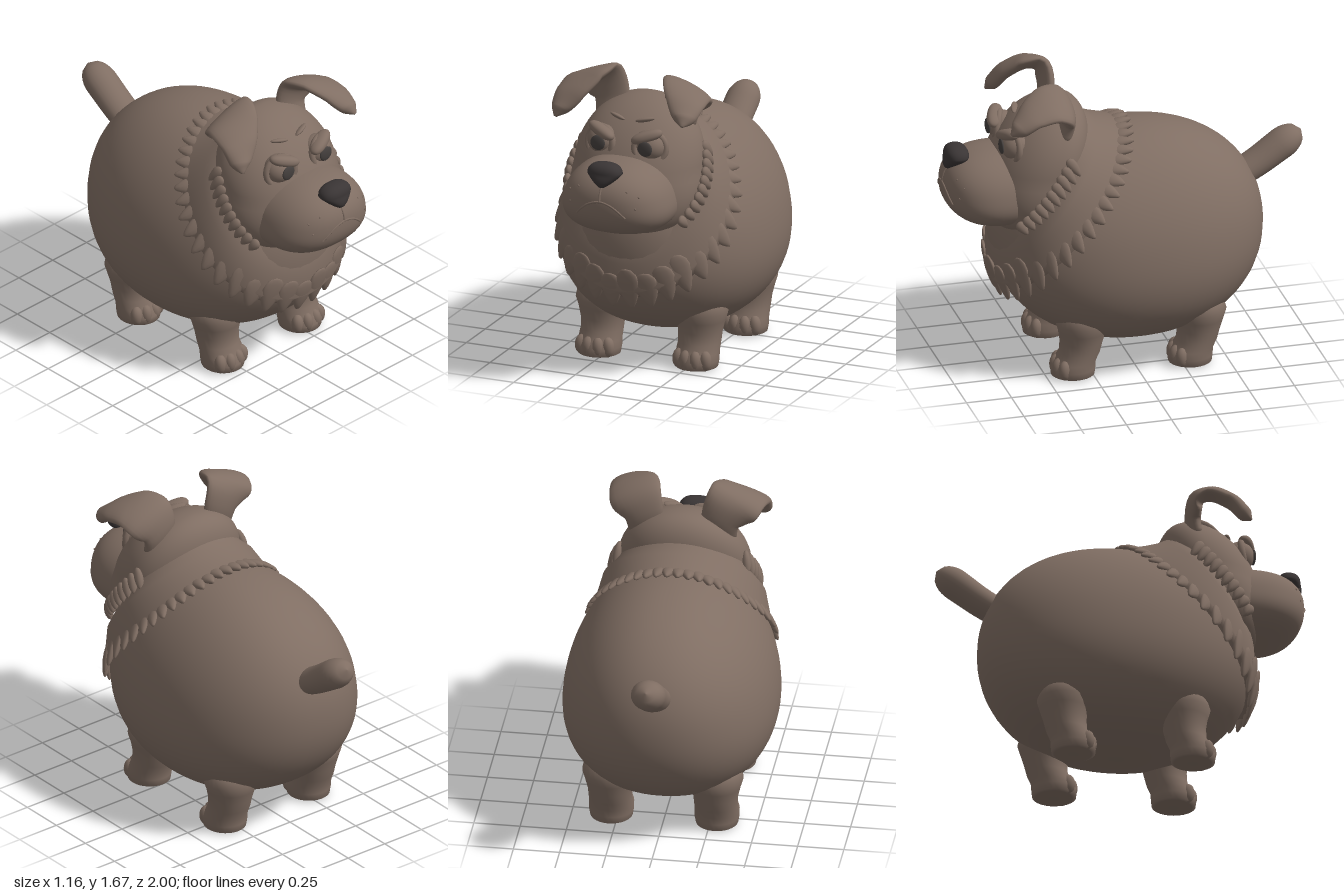
import * as THREE from 'three';
import { mergeVertices } from 'three/addons/utils/BufferGeometryUtils.js';

const V = (x, y, z) => new THREE.Vector3(x, y, z);
const fur = new THREE.MeshStandardMaterial({ color: 0x806e63 });
fur.name = 'brown fur';
const dark = new THREE.MeshStandardMaterial({ color: 0x3a3535 });
dark.name = 'dark nose';
const irisMat = new THREE.MeshStandardMaterial({ color: 0x45403e });
irisMat.name = 'iris grey';

export function createModel() {
  const root = new THREE.Group();
  root.name = 'dog';

  const add = (name, geo, mat = fur, pos, rot) => {
    const m = new THREE.Mesh(geo, mat);
    m.name = name;
    if (pos) m.position.set(...pos);
    if (rot) m.rotation.set(...rot);
    root.add(m);
  };

  // Rounded ellipsoid of squareness p, optionally bent by a vertex rule
  const blob = (rx, ry, rz, p = 2, rule, seg = 32) => {
    let g = new THREE.SphereGeometry(1, seg, Math.round(seg * 0.7));
    g.deleteAttribute('uv');
    g.deleteAttribute('normal');
    g = mergeVertices(g, 1e-4);
    const a = g.attributes.position, v = V(0, 0, 0);
    for (let i = 0; i < a.count; i++) {
      v.fromBufferAttribute(a, i);
      const k = (Math.abs(v.x) ** p + Math.abs(v.y) ** p + Math.abs(v.z) ** p) ** (-1 / p);
      v.multiplyScalar(k).multiply(V(rx, ry, rz));
      if (rule) rule(v);
      a.setXYZ(i, v.x, v.y, v.z);
    }
    g.computeVertexNormals();
    return g;
  };

  // Closed skin over a list of rings, turned outward by its signed volume
  const loft = (rings) => {
    const n = rings[0].length, pts = rings.flat(), idx = [];
    for (let r = 0; r < rings.length - 1; r++) {
      for (let i = 0; i < n; i++) {
        const a = r * n + i, b = r * n + (i + 1) % n;
        idx.push(a, b, b + n, a, b + n, a + n);
      }
    }
    [0, rings.length - 1].forEach((r, end) => {
      const c = pts.length;
      pts.push(rings[r].reduce((s, q) => s.add(q), V(0, 0, 0)).divideScalar(n));
      for (let i = 0; i < n; i++) {
        const a = r * n + i, b = r * n + (i + 1) % n;
        idx.push(...(end ? [a, b, c] : [b, a, c]));
      }
    });
    let vol = 0;
    for (let i = 0; i < idx.length; i += 3) {
      vol += pts[idx[i]].dot(pts[idx[i + 1]].clone().cross(pts[idx[i + 2]]));
    }
    if (vol < 0) idx.reverse();
    const g = new THREE.BufferGeometry().setFromPoints(pts);
    g.setIndex(idx);
    g.computeVertexNormals();
    return g;
  };
  const circle = (n, f) => Array.from({ length: n }, (_, i) => f(i / n * Math.PI * 2));

  // Body, wider toward the belly
  const bodyC = V(0, 0.725, -0.015);
  const girth = (y) => 1 - 0.25 * (y - 0.66);
  add('body', blob(0.58, 0.595, 0.745, 2.15, (v) => { v.x *= girth(v.y + bodyC.y); }, 56), fur, bodyC.toArray());
  const onBody = (p, k) => {
    const d = p.clone().sub(bodyC);
    const f = Math.hypot(d.x / (0.58 * girth(p.y)), d.y / 0.595, d.z / 0.745);
    return bodyC.clone().addScaledVector(d, k / f);
  };

  // Neck ruff: tilted rings (t = 0 at the nape) from collar hem up into the head
  const ringPt = (zb, yb, zf, yf, x, t) => V(x * Math.sin(t),
    (yb + yf) / 2 + (yb - yf) / 2 * Math.cos(t), (zb + zf) / 2 + (zb - zf) / 2 * Math.cos(t));
  const frontness = (t) => (1 - Math.cos(t)) / 2;
  const edge = (t) => ringPt(-0.04, 1.34, 0.69, 0.4, 0.54, t);
  const throat = (t) => ringPt(0.16, 1.37, 0.735, 0.66, 0.44, t);
  const hem = (t, k, s) => onBody(edge(t).lerp(throat(t), s), k + 0.03 * frontness(t));
  add('neck', loft([
    circle(64, (t) => hem(t, 0.93, 0.22)),
    circle(64, (t) => hem(t, 1.03, 0.27)),
    circle(64, (t) => hem(t, 1.05, 0.45)),
    circle(64, throat),
    circle(64, (t) => ringPt(0.21, 1.4, 0.72, 0.73, 0.385, t)),
    circle(64, (t) => ringPt(0.26, 1.43, 0.69, 0.8, 0.355, t)),
    circle(64, (t) => ringPt(0.32, 1.44, 0.63, 0.88, 0.32, t)),
    circle(64, (t) => ringPt(0.38, 1.42, 0.6, 0.98, 0.25, t)),
  ]));

  // Pointed fur tuft lying on a surface with the given outward direction
  const tuft = (name, pos, dir, out, w, len, thick) => {
    const d = dir.clone().normalize();
    const t = d.clone().cross(out).normalize();
    const g = blob(w, len, thick, 2, (v) => { v.x *= 1 - 0.45 * v.y / len; }, 12);
    g.applyMatrix4(new THREE.Matrix4().makeBasis(t, d, t.clone().cross(d)).setPosition(pos));
    add(name, g);
  };
  const count = 40;
  for (let i = 0; i < count; i++) {
    const a = (i + 0.5) / count * Math.PI * 2;
    const t = a - 0.3 * Math.sin(a);
    const front = frontness(t);
    const tip = onBody(edge(t), 1.04 + 0.05 * front), base = hem(t, 1.02, 0.5);
    const len = (0.06 + 0.055 * front) * (1 + 0.1 * Math.sin(i * 2.4));
    const dir = tip.clone().sub(base).normalize();
    tuft('collarTuft', tip.clone().addScaledVector(dir, -len), dir, tip.clone().sub(bodyC),
      0.033 + 0.027 * front, len, 0.02);
  }

  // Head, leaning forward at the jaw
  add('head', blob(0.36, 0.37, 0.3, 2.1, (v) => {
    if (v.z < 0) v.z *= 0.75;
    v.z -= 0.3 * v.y;
    if (v.y < 0) v.x *= 1 - 0.6 * v.y;
  }, 48), fur, [0, 1.15, 0.46]);

  // Muzzle and its surface depth for the mouth details
  const mw = (y) => 0.3 * (1 - 0.8 * y);
  add('muzzle', blob(0.3, 0.205, 0.3, 2.4, (v) => { v.x *= 1 - 0.8 * v.y; }, 48), fur, [0, 1.06, 0.7]);
  const onMuzzle = (x, y) => {
    const r = 1 - (Math.abs(x) / mw(y - 1.06)) ** 2.4 - (Math.abs(y - 1.06) / 0.205) ** 2.4;
    return V(x, y, 0.7 + 0.3 * Math.max(r, 0) ** (1 / 2.4));
  };
  const line = (name, pts) => add(name,
    new THREE.TubeGeometry(new THREE.CatmullRomCurve3(pts), 24, 0.006, 6));
  line('mouth', [-0.14, -0.11, -0.06, 0, 0.06, 0.11, 0.14].map((x) => onMuzzle(x, 1.09 - 4.2 * x * x)));
  line('lipCleft', [1.18, 1.13, 1.09].map((y) => onMuzzle(0, y)));

  // Nose: broad above, pointed below
  add('nose', blob(0.097, 0.06, 0.065, 2.4, (v) => {
    if (v.y < 0) { v.x *= 1 + 11 * v.y; v.y *= 1.25; v.z -= v.y * 0.35; }
  }), dark, [0, 1.232, 0.92]);

  // Features repeated on both sides
  for (const s of [1, -1]) {
    add('eyeball', blob(0.085, 0.08, 0.08), fur, [s * 0.14, 1.315, 0.63]);
    add('iris', blob(0.042, 0.042, 0.012), irisMat, [s * 0.138, 1.318, 0.708]);
    add('eyelid', new THREE.TorusGeometry(0.084, 0.019, 10, 32), fur, [s * 0.145, 1.308, 0.655], [-0.15, s * 0.3, 0]);
    add('brow', blob(0.088, 0.032, 0.042, 2.3), fur, [s * 0.132, 1.376, 0.67], [-0.2, s * 0.3, s * 0.38]);
    add('foreheadWrinkle', blob(0.052, 0.012, 0.02), fur, [s * 0.08, 1.435, 0.575], [-0.5, s * 0.2, s * 0.3]);
    for (const [x, y] of [[0.14, 1.15], [0.2, 1.12], [0.19, 1.06]]) {
      add('whiskerSpot', blob(0.006, 0.006, 0.004, 2, null, 8), fur, onMuzzle(s * x, y).toArray());
    }

    // Cheek tufts along the crease between head and neck
    for (let i = 0; i < 10; i++) {
      const u = i / 9, y = 1.24 - 0.33 * u;
      const round = Math.sqrt(1 - ((y - 1.12) / 0.32) ** 2);
      tuft('cheekTuft', V(s * (0.01 + 0.365 * round + 0.045 * u), y, 0.36 + 0.28 * u),
        V(s * 0.15, -0.7, -0.5), V(s, 0.1, 0.2), 0.027, 0.062 - 0.018 * u, 0.024);
    }

    // Legs with toes: [y, half width, z, half depth]
    for (const [name, dz] of [['frontLeg', 0], ['hindLeg', -0.65]]) {
      const prof = [[0.005, 0.1, 0.35, 0.1], [0.012, 0.114, 0.352, 0.118], [0.05, 0.121, 0.352, 0.122],
        [0.09, 0.119, 0.342, 0.114], [0.14, 0.117, 0.315, 0.11], [0.2, 0.121, 0.305, 0.116],
        [0.26, 0.135, 0.3, 0.13], [0.31, 0.15, 0.3, 0.145], [0.36, 0.14, 0.3, 0.13], [0.41, 0.1, 0.3, 0.09]];
      add(name, loft(prof.map(([y, rx, z, rz]) => circle(28, (t) =>
        V(s * 0.285 + rx * Math.cos(t), y, z + dz + rz * Math.sin(t))))));
      for (let k = 0; k < 4; k++) {
        const a = (k - 1.5) * 0.5;
        add('toe', blob(0.035, 0.056, 0.045, 2.2, null, 14), fur,
          [s * 0.285 + 0.105 * Math.sin(a), 0.06, 0.347 + dz + 0.085 * Math.cos(a)], [0, a, 0]);
      }
    }
  }

  // Ears: stem rises, folds over and drops forward; last entry is half width
  const ear = (name, s, path) => {
    const mid = new THREE.CatmullRomCurve3(path.map((q) => V(s * q[0], q[1], q[2])));
    const wide = new THREE.CatmullRomCurve3(path.map((q, i) => V(i, q[3], 0)));
    const rings = [];
    for (let i = 0; i <= 30; i++) {
      const u = i / 30, c = mid.getPoint(u), tan = mid.getTangent(u), hw = Math.max(wide.getPoint(u).y, 0.008);
      const side = V(s * 0.93, -0.36, 0);
      side.addScaledVector(tan, -side.dot(tan)).normalize();
      const nor = tan.clone().cross(side);
      const th = Math.min(0.04, hw * 0.75);
      rings.push(circle(24, (t) => c.clone().addScaledVector(side, hw * Math.cos(t))
        .addScaledVector(nor, th * Math.sin(t))));
    }
    add(name, loft(rings));
  };
  ear('leftEar', 1, [[0.21, 1.37, 0.39, 0.08], [0.21, 1.48, 0.365, 0.11], [0.25, 1.565, 0.39, 0.145],
    [0.28, 1.59, 0.47, 0.14], [0.32, 1.56, 0.58, 0.105], [0.345, 1.505, 0.66, 0.065], [0.355, 1.475, 0.71, 0.01]]);
  ear('rightEar', -1, [[0.21, 1.37, 0.39, 0.08], [0.21, 1.48, 0.365, 0.11], [0.27, 1.58, 0.38, 0.15],
    [0.31, 1.59, 0.45, 0.145], [0.36, 1.53, 0.55, 0.105], [0.4, 1.45, 0.61, 0.06], [0.415, 1.41, 0.645, 0.01]]);

  // Tail: a plump upright stub
  const tailCurve = new THREE.CatmullRomCurve3([V(0, 0.93, -0.64), V(0, 1.0, -0.76), V(0, 1.075, -0.87), V(0, 1.155, -0.99)]);
  const tail = [];
  for (let i = 0; i <= 20; i++) {
    const u = i / 20, c = tailCurve.getPoint(u), tan = tailCurve.getTangent(u);
    const up = V(0, -tan.z, tan.y);
    const end = Math.sqrt(Math.max(1 - Math.max((u - 0.7) / 0.3, 0) ** 2, 0.002));
    tail.push(circle(24, (t) => c.clone().add(V(0.094 * end * Math.cos(t), 0, 0))
      .addScaledVector(up, (0.072 + 0.015 * u) * end * Math.sin(t))));
  }
  add('tail', loft(tail));

  return root;
}
